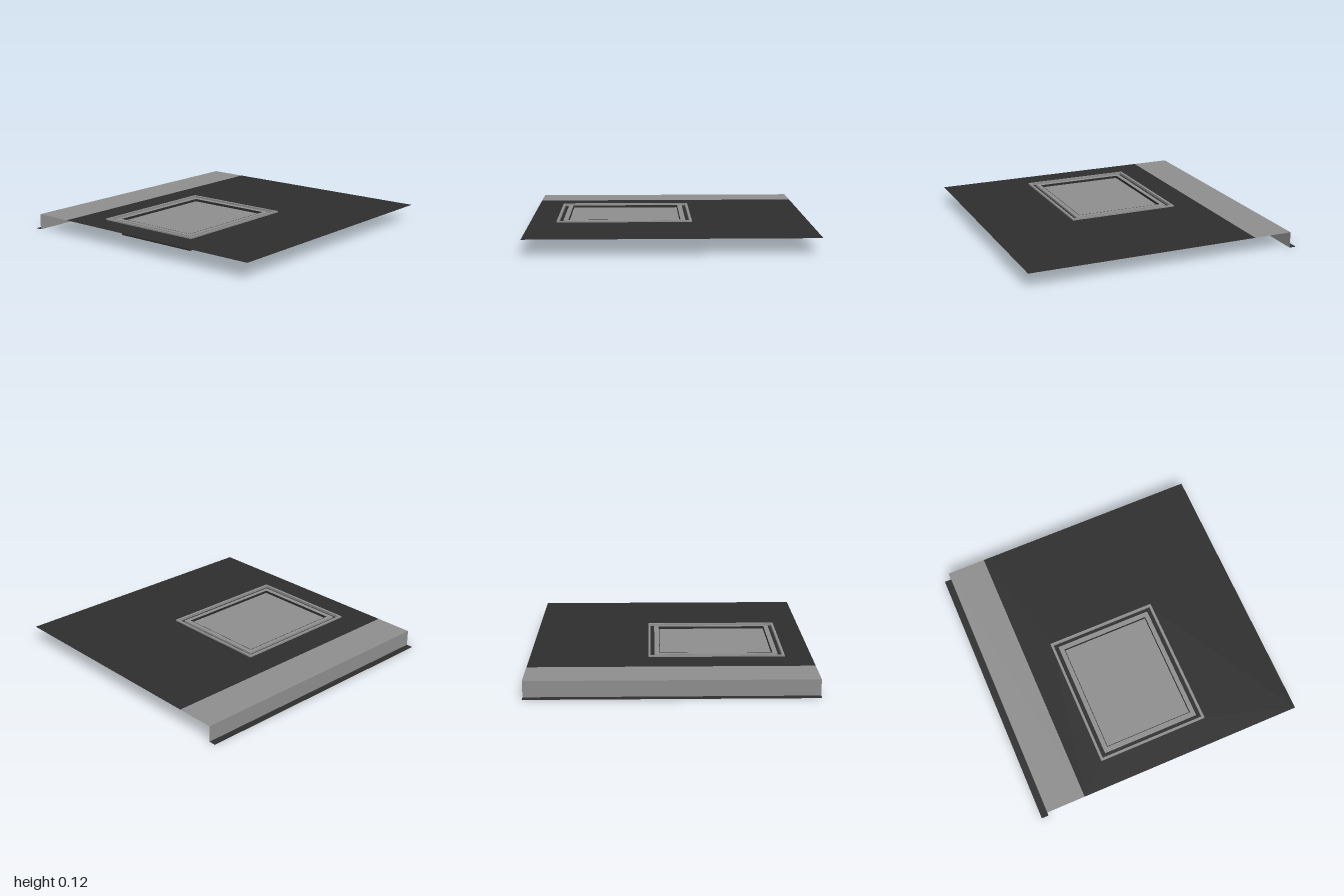
import * as THREE from 'three';

const GROUND = 0.115;              // height of the paved surface
const CX = -0.0475, CZ = 0.325;    // centre of the hatch

export function createModel() {
  const group = new THREE.Group();
  group.name = 'hatchInPavement';

  const dark = new THREE.MeshStandardMaterial({ color: 0x2d2d2d, side: THREE.DoubleSide });
  dark.name = 'asphalt';
  const light = new THREE.MeshStandardMaterial({ color: 0x8d8d8d, side: THREE.DoubleSide });
  light.name = 'concrete';

  function add(name, geometry, material) {
    const mesh = new THREE.Mesh(geometry, material);
    mesh.name = name;
    group.add(mesh);
  }

  // Rectangle in the ground plane, drawn so that -shape.y becomes z
  function trace(path, x0, x1, z0, z1) {
    path.moveTo(x0, -z1);
    path.lineTo(x1, -z1);
    path.lineTo(x1, -z0);
    path.lineTo(x0, -z0);
    path.closePath();
    return path;
  }
  const around = (path, hx, hz) => trace(path, CX - hx, CX + hx, CZ - hz, CZ + hz);

  // Flat sheet at height y
  function sheet(name, shape, y, material) {
    const g = new THREE.ShapeGeometry(shape);
    g.rotateX(-Math.PI / 2);
    g.translate(0, y, 0);
    add(name, g, material);
  }

  // Rectangular ring around the hatch, from y0 to y1
  function frame(name, outer, inner, y0, y1, material) {
    const shape = around(new THREE.Shape(), ...outer);
    shape.holes.push(around(new THREE.Path(), ...inner));
    const g = new THREE.ExtrudeGeometry(shape, { depth: y1 - y0, bevelEnabled: false });
    g.rotateX(-Math.PI / 2);
    g.translate(0, y0, 0);
    add(name, g, material);
  }

  // Pavement, with an opening for the hatch
  const pavement = trace(new THREE.Shape(), -0.665, 1, -1, 1);
  pavement.holes.push(around(new THREE.Path(), 0.3925, 0.47));
  sheet('pavement', pavement, GROUND, dark);

  // Kerb top, kerb face and the lower road edge
  sheet('kerbTop', trace(new THREE.Shape(), -0.95, -0.665, -1, 1), GROUND, light);
  const face = new THREE.PlaneGeometry(2, GROUND);
  face.rotateY(-Math.PI / 2);
  face.translate(-0.95, GROUND / 2, 0);
  add('kerbFace', face, light);
  sheet('roadEdge', trace(new THREE.Shape(), -1, -0.95, -1, 1), 0, dark);

  // Hatch frame: overhanging lip, gutter and inner ledge
  frame('frameLip', [0.4075, 0.485], [0.3925, 0.47], 0.115, 0.125, light);
  frame('frameWall', [0.3925, 0.47], [0.39, 0.4675], 0.105, 0.125, light);
  frame('gutterFloor', [0.39, 0.4675], [0.36, 0.44], 0.105, 0.107, dark);
  frame('ledge', [0.36, 0.44], [0.328, 0.405], 0.105, 0.12, light);

  // Box below the hatch, and the slightly sunken cover
  frame('boxWalls', [0.328, 0.405], [0.324, 0.401], 0, 0.12, dark);
  sheet('boxFloor', around(new THREE.Shape(), 0.328, 0.405), 0, dark);
  sheet('cover', around(new THREE.Shape(), 0.324, 0.401), 0.103, light);

  return group;
}
